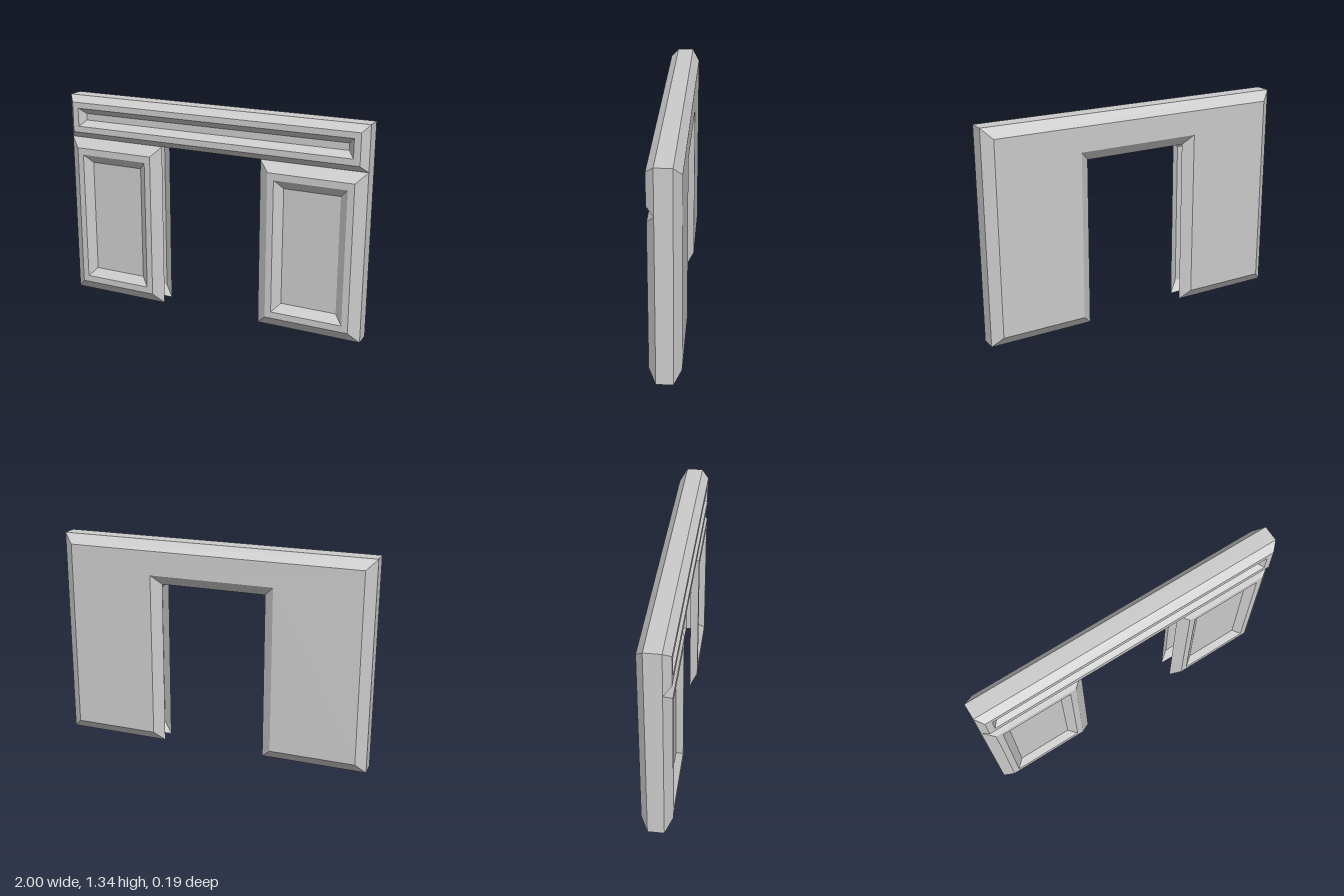
import * as THREE from 'three';

const TOP = 1.335, SPLIT = 1.058, OPEN = 0.335; // overall height, drawer/door seam, half opening
const EDGE = 0.05, FACE = 0.095;                // depth of bevel edges and of flat faces

const material = new THREE.MeshStandardMaterial({
  color: 0xcccccc, flatShading: true, side: THREE.DoubleSide,
});

function makeMesh(name, positions) {
  const geometry = new THREE.BufferGeometry();
  geometry.setAttribute('position', new THREE.Float32BufferAttribute(positions, 3));
  geometry.computeVertexNormals();
  const mesh = new THREE.Mesh(geometry, material);
  mesh.name = name;
  return mesh;
}

function addQuad(out, a, b, c, d) {
  for (const p of [a, b, c, a, c, d]) out.push(...p);
}

const rect = (x0, x1, y0, y1, z) => [[x0, y0, z], [x1, y0, z], [x1, y1, z], [x0, y1, z]];

// Joins matching counter-clockwise outlines and fills the last one
function steppedPanel(name, loops) {
  const out = [];
  for (let k = 0; k + 1 < loops.length; k++) {
    const a = loops[k], b = loops[k + 1];
    a.forEach((p, i) => {
      const j = (i + 1) % a.length;
      addQuad(out, p, a[j], b[j], b[i]);
    });
  }
  const last = loops[loops.length - 1];
  const contour = last.map(([x, y]) => new THREE.Vector2(x, y));
  for (const tri of THREE.ShapeUtils.triangulateShape(contour, [])) {
    for (const i of tri) out.push(...last[i]);
  }
  return makeMesh(name, out);
}

// Band running from front to back along an open line in x, y
function band(name, line) {
  const out = [];
  for (let i = 0; i + 1 < line.length; i++) {
    const [a, b] = [line[i], line[i + 1]];
    addQuad(out, [...a, EDGE], [...a, -EDGE], [...b, -EDGE], [...b, EDGE]);
  }
  return makeMesh(name, out);
}

// Outline of the whole wall with its doorway, inset by d
function archOutline(d, z) {
  const w = 1 - d, o = OPEN + d, s = SPLIT + d;
  return [[-w, d], [-o, d], [-o, s], [o, s], [o, d], [w, d], [w, TOP - d], [-w, TOP - d]]
    .map(([x, y]) => [x, y, z]);
}

export function createModel() {
  const group = new THREE.Group();
  group.name = 'deskFront';

  // Long drawer front with a sunken field
  group.add(steppedPanel('drawerFront', [
    rect(-1, 1, SPLIT, TOP, EDGE),
    rect(-0.96, 0.96, 1.1, 1.294, FACE),
    rect(-0.92, 0.92, 1.139, 1.257, FACE),
    rect(-0.882, 0.882, 1.176, 1.219, 0.056),
  ]));

  // Pair of door fronts with sunken fields
  for (const [name, cx] of [['leftDoor', 0.6675], ['rightDoor', -0.6675]]) {
    const door = steppedPanel(name, [
      rect(-0.3325, 0.3325, 0, SPLIT, EDGE),
      rect(-0.268, 0.268, 0.065, 0.995, FACE),
      rect(-0.228, 0.228, 0.107, 0.952, FACE),
      rect(-0.177, 0.177, 0.16, 0.898, 0.056),
    ]);
    door.position.x = cx;
    group.add(door);
  }

  // Bevelled back
  const back = steppedPanel('backPanel', [archOutline(0, EDGE), archOutline(0.062, FACE)]);
  back.rotation.y = Math.PI;
  group.add(back);

  // Outer sides and top, and underside of the drawer; the legs stay hollow
  group.add(band('outerEdge', [[1, 0], [1, TOP], [-1, TOP], [-1, 0]]));
  group.add(band('drawerUnderside', [[-OPEN, SPLIT], [OPEN, SPLIT]]));

  return group;
}
